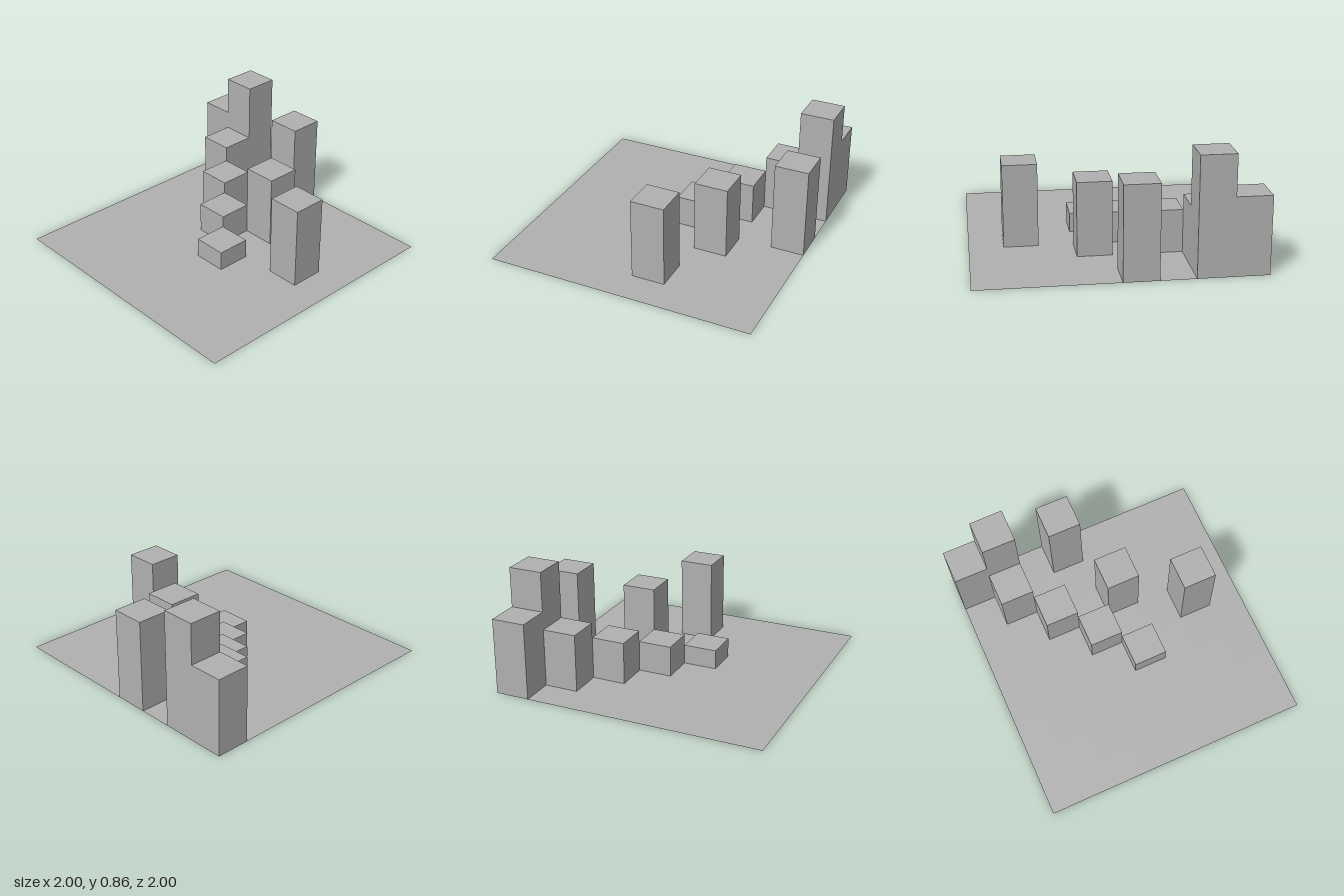
import * as THREE from 'three';
import { mergeGeometries } from 'three/addons/utils/BufferGeometryUtils.js';

const CELL = 0.25;
const COUNT = 8;

// Column, row (counted from the back right corner) and height of each block
const BLOCKS = [
  [0, 0, 0.565], [1, 0, 0.86], [3, 0, 0.68],
  [1, 1, 0.43], [2, 2, 0.315], [4, 2, 0.545],
  [3, 3, 0.23], [6, 3, 0.61], [4, 4, 0.145],
];

const centre = (i) => (i + 0.5) * CELL - 1;

// Box without its bottom face, standing on y = 0
function openBlock(height) {
  const geo = new THREE.BoxGeometry(CELL, height, CELL);
  const index = Array.from(geo.index.array);
  index.splice(18, 6);
  geo.setIndex(index);
  geo.clearGroups();
  return geo.translate(0, height / 2, 0);
}

export function createModel() {
  const model = new THREE.Group();
  model.name = 'blockField';
  const grey = new THREE.MeshStandardMaterial({ color: 0xb0b0b0, side: THREE.DoubleSide });
  grey.name = 'grey';

  // Ground sheet, left open under every block
  const tiles = [];
  for (let row = 0; row < COUNT; row++) {
    for (let col = 0; col < COUNT; col++) {
      if (BLOCKS.some(([c, r]) => c === col && r === row)) continue;
      tiles.push(new THREE.PlaneGeometry(CELL, CELL)
        .rotateX(-Math.PI / 2)
        .translate(centre(col), 0, centre(row)));
    }
  }
  const ground = new THREE.Mesh(mergeGeometries(tiles), grey);
  ground.name = 'ground';
  model.add(ground);

  // Hollow blocks rising from the sheet
  BLOCKS.forEach(([col, row, height], i) => {
    const block = new THREE.Mesh(openBlock(height), grey);
    block.name = `block${i + 1}`;
    block.position.set(centre(col), 0, centre(row));
    model.add(block);
  });

  return model;
}
